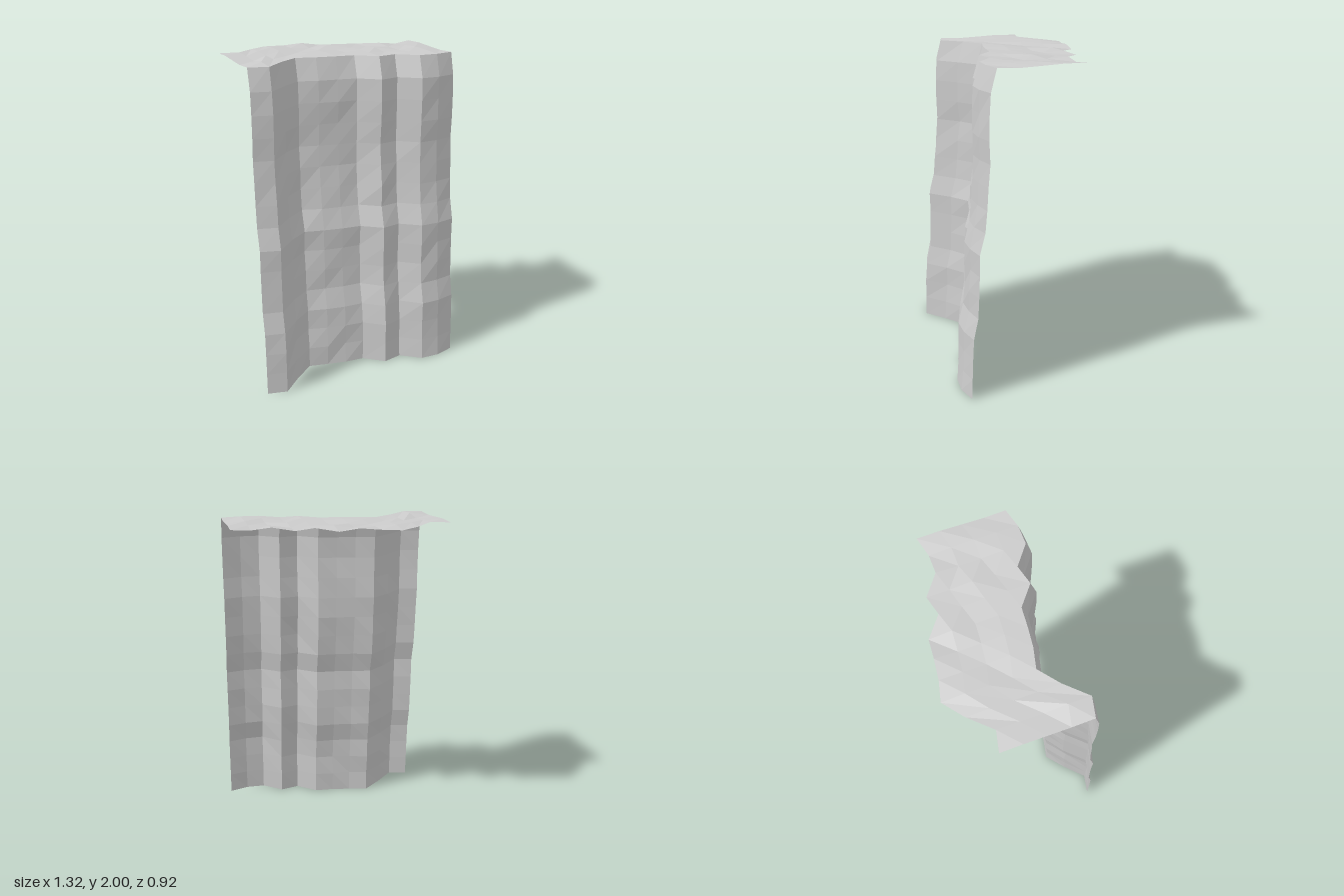
import * as THREE from 'three';

const WIDTH = 1.32, HEIGHT = 1.99, DEPTH = 0.53;
const COLS = 11, ROWS = 15, TOP_ROWS = 4;

// Depth of the cliff's upper edge at each column, from -x to +x
const EDGE = [0.26, 0.288, 0.165, 0.072, 0.102, 0.117, 0.127, 0.225, 0.195, 0.29, 0.29, 0.26];
// How far each row steps forward of the upper edge, from top to bottom
const STEP = [0, 0.035, 0.043, 0.045, 0.04, 0.052, 0.06, 0.072,
  0.107, 0.108, 0.113, 0.12, 0.148, 0.155, 0.16, 0.165];

// Repeatable roughness between -1 and 1
function rough(i, j) {
  const s = Math.sin(i * 127.1 + j * 311.7) * 43758.5453;
  return 2 * (s - Math.floor(s)) - 1;
}

// Grid of faces whose points are placed by a rule of column and row
function sheet(name, rows, material, place) {
  const geometry = new THREE.PlaneGeometry(WIDTH, 1, COLS, rows);
  const pos = geometry.attributes.position;
  for (let j = 0; j <= rows; j++) {
    for (let i = 0; i <= COLS; i++) {
      const [y, z] = place(i, j);
      pos.setXYZ(j * (COLS + 1) + i, (i / COLS - 0.5) * WIDTH, y, z);
    }
  }
  const flat = geometry.toNonIndexed();
  flat.computeVertexNormals();
  const mesh = new THREE.Mesh(flat, material);
  mesh.name = name;
  return mesh;
}

export function createModel() {
  const group = new THREE.Group();
  group.name = 'cliff';

  const rock = new THREE.MeshStandardMaterial({
    name: 'grey rock', color: 0xcccccc, flatShading: true, side: THREE.DoubleSide,
  });

  // Rough face; its side columns stay smooth so that copies can join
  group.add(sheet('cliffFace', ROWS, rock, (i, j) => {
    const inner = j > 0 && i > 0 && i < COLS;
    return [HEIGHT * (1 - j / ROWS), EDGE[i] + STEP[j] + (inner ? 0.007 * rough(i, j) : 0)];
  }));

  // Gently uneven ledge running back from the upper edge
  group.add(sheet('cliffTop', TOP_ROWS, rock, (i, j) => {
    const bump = j === TOP_ROWS ? 0 : 0.009 * rough(i % COLS, j + 40);
    return [HEIGHT + bump, EDGE[i] - DEPTH * (1 - j / TOP_ROWS)];
  }));

  return group;
}
